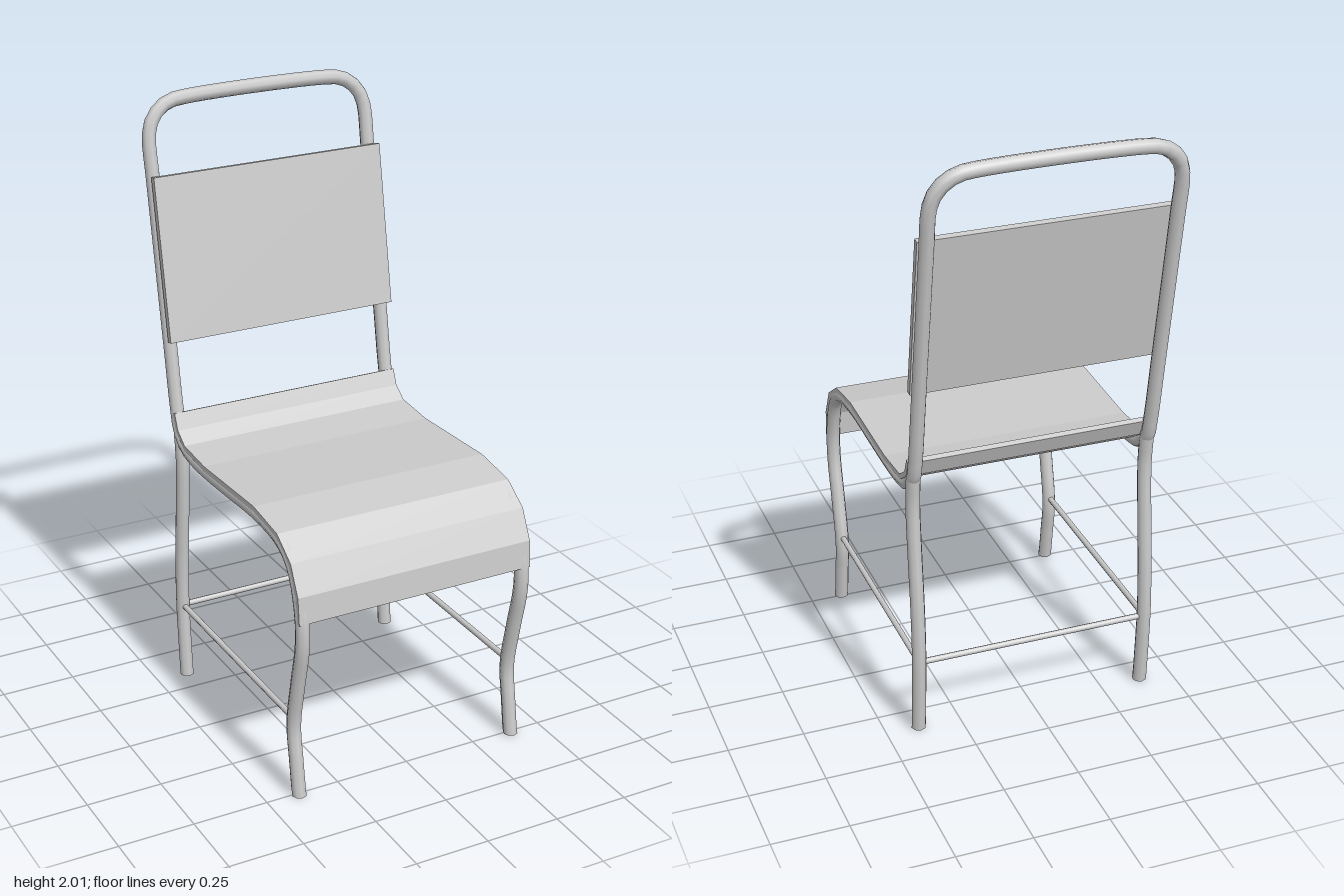
import * as THREE from 'three';

const material = new THREE.MeshStandardMaterial({ color: 0xcccccc });
const RADIUS = 0.024; // frame tube
const SIDE = 0.39; // x of the side tubes
const ROD_Y = 0.26;

// z of the sloping back posts at height y
const backZ = (y) => -0.357 - 0.178 * (y - 0.98);

function add(parent, name, geometry) {
  const mesh = new THREE.Mesh(geometry, material);
  mesh.name = name;
  parent.add(mesh);
  return mesh;
}

// Bent tube through the points, cut level at the floor
function bentTube(points, segments) {
  const curve = new THREE.CatmullRomCurve3(points, false, 'centripetal');
  const geometry = new THREE.TubeGeometry(curve, segments, RADIUS, 8, false);
  const pos = geometry.attributes.position;
  for (let i = 0; i < pos.count; i++) pos.setY(i, Math.max(0, pos.getY(i)));
  return geometry;
}

function footCap(parent, x, z) {
  const cap = add(parent, 'footCap', new THREE.CircleGeometry(RADIUS, 8).rotateX(Math.PI / 2));
  cap.position.set(x, 0.0005, z);
}

// Straight thin rod between two points
function rod(parent, name, a, b) {
  add(parent, name, new THREE.TubeGeometry(new THREE.LineCurve3(a, b), 1, 0.01, 8, false));
}

// Bent sheet: a [z, y] profile thickened inwards and extruded across x
function sheet(profile, thickness, width) {
  const outer = profile.map(([z, y]) => new THREE.Vector2(z, y));
  const inner = outer.map((p, i) => {
    const d = outer[Math.min(i + 1, outer.length - 1)].clone().sub(outer[Math.max(i - 1, 0)]).normalize();
    return new THREE.Vector2(p.x - d.y * thickness, p.y + d.x * thickness);
  });
  const shape = new THREE.Shape([...outer, ...inner.reverse()]);
  return new THREE.ExtrudeGeometry(shape, { depth: width, bevelEnabled: false })
    .translate(0, 0, -width / 2)
    .rotateY(-Math.PI / 2);
}

export function createModel() {
  const chair = new THREE.Group();
  chair.name = 'chair';

  // One continuous tube: front leg, seat rail, back post, top rail and mirrored down again
  const sidePath = [
    [-0.02, 0.508], [0.12, 0.487], [0.235, 0.472], [0.4, 0.503], [0.55, 0.535], [0.66, 0.53],
    [0.79, 0.483], [0.845, 0.41], [0.868, 0.25], [0.862, 0.05], [0.857, -0.11], [0.86, -0.21],
    [0.877, -0.29], [0.92, -0.338], [1.0, backZ(1.0)], [1.2, backZ(1.2)], [1.5, backZ(1.5)], [1.75, backZ(1.75)],
  ].map(([y, z]) => new THREE.Vector3(SIDE, y, z));
  const bend = 0.12;
  for (let i = 0; i <= 4; i++) {
    const a = (i / 4) * Math.PI / 2;
    const y = 1.976 - bend + bend * Math.sin(a);
    sidePath.push(new THREE.Vector3(SIDE - bend + bend * Math.cos(a), y, backZ(y)));
  }
  const mirrored = sidePath.map((p) => new THREE.Vector3(-p.x, p.y, p.z)).reverse();
  add(chair, 'mainFrame', bentTube([...sidePath, ...mirrored], 170));

  // Back legs, foot caps and side rods
  for (const s of [1, -1]) {
    const x = s * SIDE;
    const legPath = [[-0.02, -0.342], [0.12, -0.352], [0.27, -0.36], [0.45, -0.354], [0.65, -0.336], [0.82, -0.325], [0.92, -0.335]]
      .map(([y, z]) => new THREE.Vector3(x, y, z));
    add(chair, 'backLeg', bentTube(legPath, 18));
    footCap(chair, x, -0.343);
    footCap(chair, x, 0.505);
    rod(chair, 'sideRod', new THREE.Vector3(x, ROD_Y, 0.475), new THREE.Vector3(x, ROD_Y, -0.36));
  }
  rod(chair, 'backRod', new THREE.Vector3(-SIDE, ROD_Y, -0.36), new THREE.Vector3(SIDE, ROD_Y, -0.36));

  // Seat sheet rolled over the front and turned up at the back
  add(chair, 'seat', sheet([
    [0.555, 0.63], [0.547, 0.72], [0.5, 0.815], [0.41, 0.876], [0.25, 0.899],
    [-0.11, 0.885], [-0.26, 0.897], [-0.31, 0.932], [-0.332, 0.985],
  ], 0.018, 0.82));

  // Flat backrest panel in front of the posts
  add(chair, 'backrest', sheet([[-0.348, 1.224], [-0.441, 1.755]], 0.022, 0.816));

  return chair;
}
